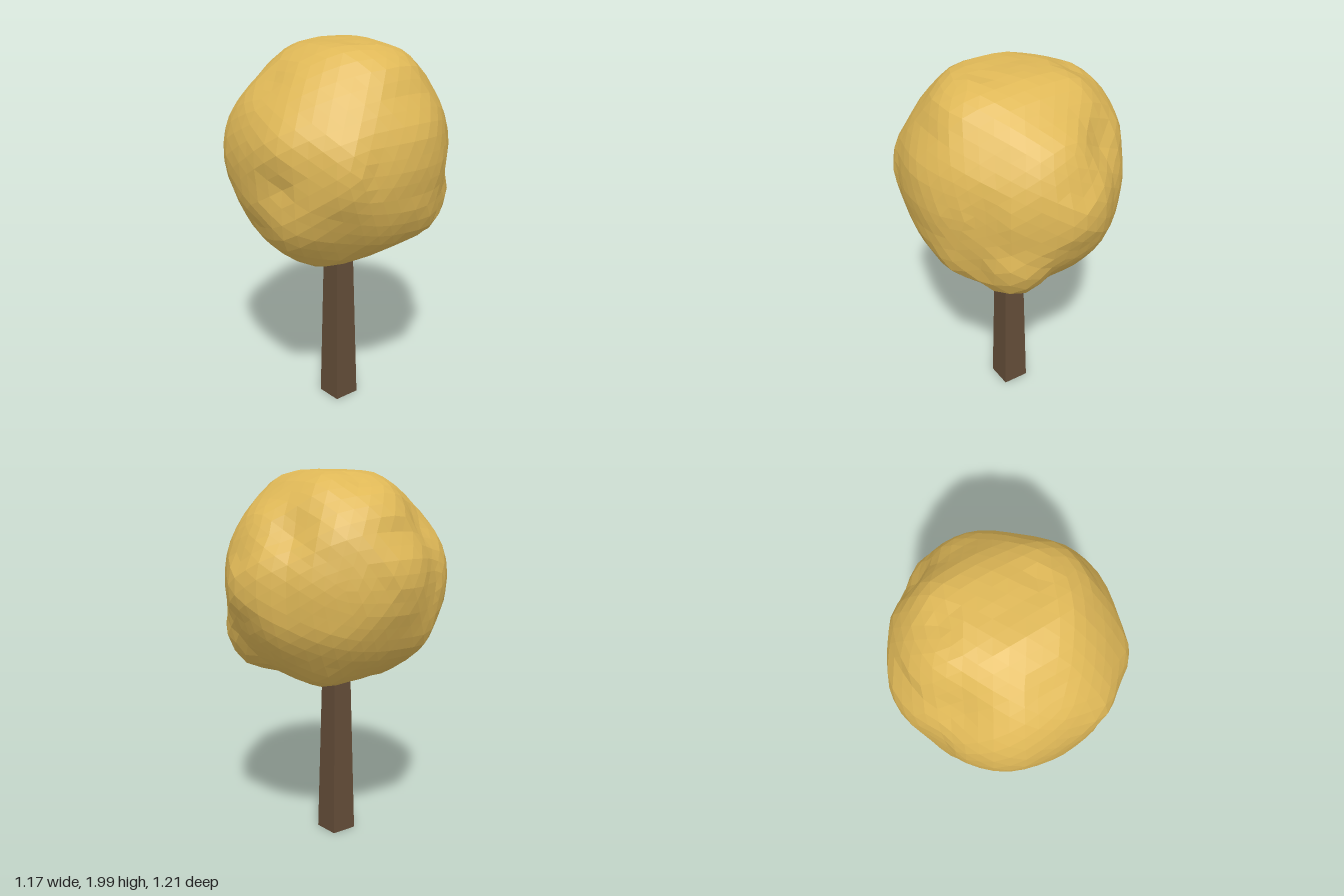
import * as THREE from 'three';

const leafMaterial = new THREE.MeshStandardMaterial({ color: 0xdfb857 });
leafMaterial.name = 'golden leaves';
const barkMaterial = new THREE.MeshStandardMaterial({ color: 0x634d38 });
barkMaterial.name = 'brown bark';

const CENTER_Y = 1.44;

// Outlines of the crown in its three middle planes, as pairs of coordinates.
const frontOutline = [ // x, y
  [-0.585, 1.5], [-0.57, 1.57], [-0.5, 1.69], [-0.475, 1.8], [-0.38, 1.91], [-0.25, 1.96],
  [-0.05, 1.995], [0.15, 1.985], [0.3, 1.975], [0.39, 1.93], [0.5, 1.75], [0.575, 1.6],
  [0.585, 1.47], [0.57, 1.35], [0.52, 1.15], [0.45, 1.03], [0.35, 0.94], [0.2, 0.885], [0, 0.88],
  [-0.15, 0.91], [-0.3, 0.96], [-0.4, 1.04], [-0.5, 1.2], [-0.56, 1.36],
];
const sideOutline = [ // z, y
  [0.6, 1.42], [0.56, 1.66], [0.47, 1.8], [0.38, 1.91], [0.25, 1.97], [0.03, 1.99], [-0.2, 1.97],
  [-0.35, 1.87], [-0.48, 1.76], [-0.55, 1.6], [-0.61, 1.4], [-0.55, 1.25], [-0.45, 1.08],
  [-0.28, 0.94], [-0.05, 0.88], [0.15, 0.88], [0.32, 0.885], [0.4, 0.93], [0.47, 1], [0.55, 1.16],
];
const topOutline = [ // x, z
  [-0.02, -0.61], [0.06, -0.6], [0.2, -0.53], [0.3, -0.48], [0.4, -0.36], [0.5, -0.25],
  [0.56, -0.15], [0.585, 0.02], [0.555, 0.2], [0.495, 0.39], [0.35, 0.5], [0.24, 0.57],
  [0.12, 0.6], [-0.1, 0.595], [-0.27, 0.555], [-0.35, 0.505], [-0.42, 0.42], [-0.5, 0.25],
  [-0.585, 0.03], [-0.53, -0.17], [-0.45, -0.3], [-0.4, -0.37], [-0.28, -0.47], [-0.1, -0.58],
];
// Points between those planes.
const fill = [
  [0.35, 1.79, 0.33], [0.34, 1.77, -0.32], [-0.32, 1.8, -0.32], [-0.26, 1.87, 0.28],
  [0.34, 1.1, 0.35], [-0.33, 1.09, 0.34], [-0.33, 1.11, -0.32], [0.28, 1.05, -0.42],
];
const controls = [
  ...frontOutline.map(([x, y]) => [x, y, 0]),
  ...sideOutline.map(([z, y]) => [0, y, z]),
  ...topOutline.map(([x, z]) => [x, CENTER_Y, z]),
  ...fill,
].map(([x, y, z]) => {
  const dir = new THREE.Vector3(x, y - CENTER_Y, z);
  const radius = dir.length();
  return { dir: dir.normalize(), radius };
});

// Local bumps and dents: direction, height, sharpness.
const bumps = [
  [[-0.42, 0.3, 0.28], -0.055, 30],   // hollow high on the front right
  [[-0.03, 0.42, 0.38], -0.03, 40],   // hollow high on the front
  [[0.2, -0.08, 0.56], -0.035, 90],   // crease on the front
  [[0.2, 0.13, 0.56], 0.02, 50],      // swelling above the crease
  [[0.2, 0.5, 0.18], 0.025, 50],      // ridge along the top
  [[-0.2, 0.5, -0.2], 0.025, 50],     // rise on the back of the top
  [[-0.3, 0.5, -0.08], -0.02, 60],    // dip beside it
  [[-0.25, 0.3, -0.47], -0.065, 35],  // hollow high on the back
  [[0.36, 0.3, -0.4], -0.02, 40],     // flat high on the back left
  [[0.29, -0.43, -0.4], 0.02, 60],    // knob low on the back
  [[0.43, -0.3, -0.34], -0.035, 100], // pocket beside the knob
  [[0.48, -0.33, -0.17], 0.025, 60],  // lower edge of the left side
  [[0.28, -0.52, -0.06], -0.045, 45], // hollow under the left side
  [[0.22, -0.51, 0.25], 0.03, 40],    // low bulges around the underside
  [[0.25, -0.35, 0.49], 0.05, 30],
  [[-0.2, -0.51, -0.2], 0.035, 40],
  [[-0.47, -0.31, 0.22], 0.025, 40],
  [[-0.15, -0.5, 0.4], -0.025, 50],   // dip between them
].map(([d, height, sharp]) => ({ dir: new THREE.Vector3(...d).normalize(), height, sharp }));

function crownRadius(dir) {
  let sum = 0, total = 0;
  for (const c of controls) {
    const gap = 1 - dir.dot(c.dir);
    const weight = 1 / Math.pow(gap + 0.008, 2.4);
    sum += weight * c.radius;
    total += weight;
  }
  let radius = sum / total;
  for (const b of bumps) radius += b.height * Math.exp(-b.sharp * (1 - dir.dot(b.dir)));
  return radius;
}

// Faceted ball, each corner pushed to the radius for its direction.
function crownGeometry() {
  const geometry = new THREE.IcosahedronGeometry(1, 8);
  const pos = geometry.attributes.position;
  const v = new THREE.Vector3();
  for (let i = 0; i < pos.count; i++) {
    v.fromBufferAttribute(pos, i).normalize();
    v.multiplyScalar(crownRadius(v));
    pos.setXYZ(i, v.x, v.y + CENTER_Y, v.z);
  }
  geometry.computeVertexNormals();
  return geometry;
}

// Square post narrowing upwards into the crown.
function trunkGeometry() {
  const height = 1.05;
  const geometry = new THREE.BoxGeometry(2, height, 2);
  const pos = geometry.attributes.position;
  for (let i = 0; i < pos.count; i++) {
    const half = pos.getY(i) > 0 ? 0.052 : 0.073;
    pos.setX(i, pos.getX(i) * half);
    pos.setZ(i, pos.getZ(i) * half);
  }
  geometry.translate(0.019, height / 2, 0.042);
  geometry.computeVertexNormals();
  return geometry;
}

export function createModel() {
  const tree = new THREE.Group();
  tree.name = 'tree';
  const crown = new THREE.Mesh(crownGeometry(), leafMaterial);
  crown.name = 'crown';
  const trunk = new THREE.Mesh(trunkGeometry(), barkMaterial);
  trunk.name = 'trunk';
  tree.add(crown, trunk);
  return tree;
}
